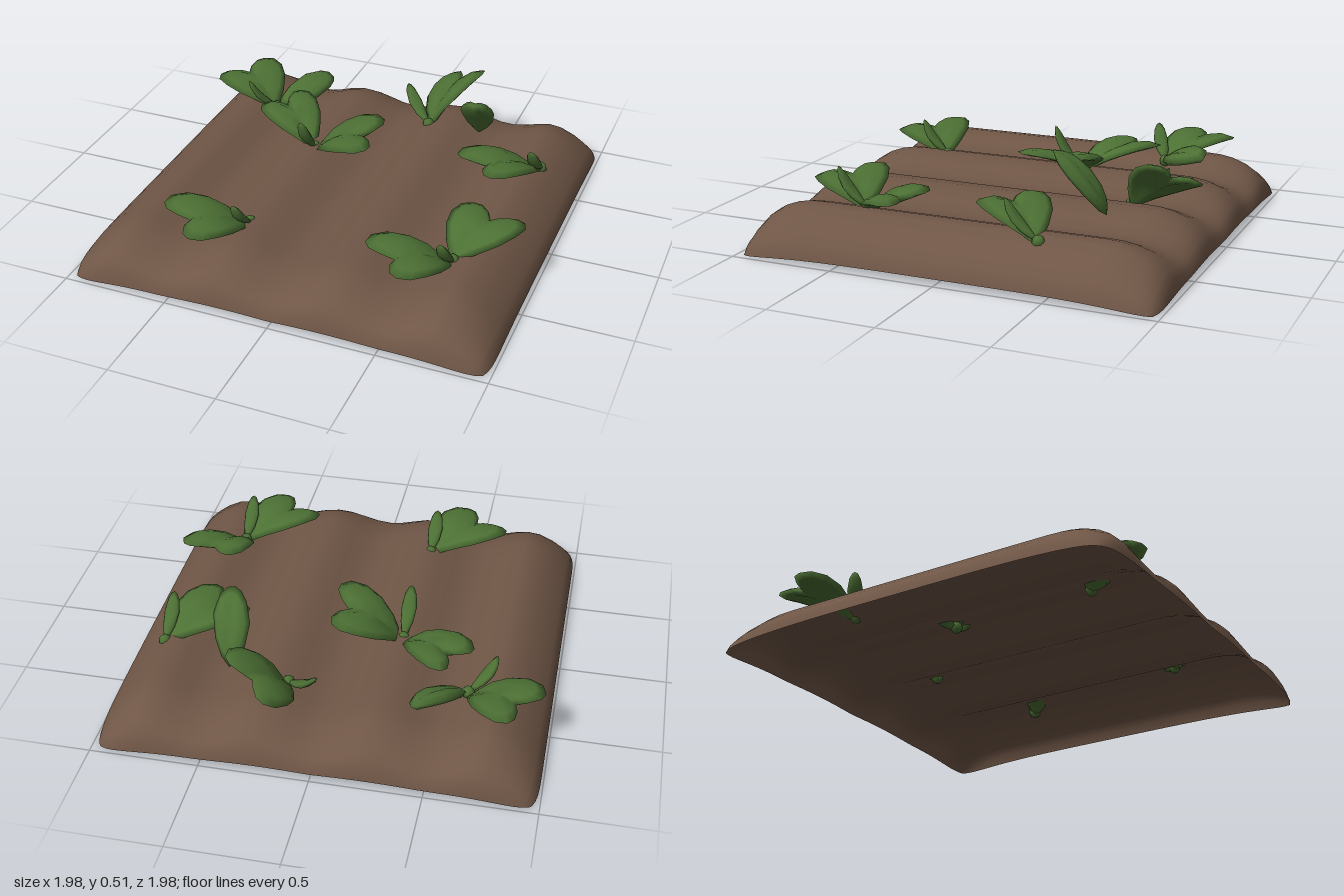
import * as THREE from 'three';

const soilMat = new THREE.MeshStandardMaterial({ color: 0x6f5646, side: THREE.DoubleSide });
soilMat.name = 'soil brown';
const leafMat = new THREE.MeshStandardMaterial({ color: 0x4c7034 });
leafMat.name = 'leaf green';

const V = (p) => new THREE.Vector3(...p);

// Half outlines: [position along the leaf, distance from the midrib]
const HEART = [[0, 0], [0.05, 0.1], [0.2, 0.3], [0.42, 0.5], [0.65, 0.6], [0.86, 0.6], [0.98, 0.48], [1.0, 0.33], [0.92, 0.14], [0.8, 0]];
const OVAL = [[0, 0], [0.1, 0.22], [0.3, 0.42], [0.6, 0.52], [0.85, 0.38], [0.96, 0.2], [1, 0]];

function buildGeometry(pos, idx) {
  const g = new THREE.BufferGeometry();
  g.setAttribute('position', new THREE.Float32BufferAttribute(pos, 3));
  g.setIndex(idx);
  g.computeVertexNormals();
  return g;
}

// Thick leaf stretched between its base and its two lobe tips
function leaf(name, half, base, tipA, tipB, { arch = 0.05, thick = 0.02, groove = 0.02 } = {}) {
  const b = V(base);
  let t1 = V(tipA), t2 = V(tipB);
  const along = t1.clone().add(t2).multiplyScalar(0.5).sub(b);
  let across = t1.clone().sub(t2);
  let n = along.clone().cross(across).normalize();
  if (n.y < 0) { across.negate(); n.negate(); }

  const outline = [
    ...half.map(([u, v]) => [u, -v]),
    ...half.slice(1, -1).reverse(),
  ];
  const N = outline.length, cu = 0.5, pos = [], idx = [];
  const put = (u, v, lift) => {
    const h = arch * Math.sin(Math.PI * Math.min(u, 1) * 0.85) - groove * Math.exp(-v * v * 60) + lift;
    const p = b.clone().addScaledVector(along, u).addScaledVector(across, v).addScaledVector(n, h);
    pos.push(p.x, p.y, p.z);
  };
  // Rings: top inner, top outer, rim, bottom outer, bottom inner
  const rings = [[0.4, 1], [0.8, 0.75], [1, 0], [0.8, -0.75], [0.4, -1]];
  for (const [s, k] of rings) for (const [u, v] of outline) put(cu + (u - cu) * s, v * s, k * thick);
  put(cu, 0, thick);
  put(cu, 0, -thick);
  const top = rings.length * N, bottom = top + 1;
  for (let i = 0; i < N; i++) {
    const j = (i + 1) % N;
    idx.push(top, i, j);
    for (let r = 0; r < rings.length - 1; r++) {
      const a = r * N, c = a + N;
      idx.push(a + i, c + i, c + j, a + i, c + j, a + j);
    }
    const e = (rings.length - 1) * N;
    idx.push(bottom, e + j, e + i);
  }
  const m = new THREE.Mesh(buildGeometry(pos, idx), leafMat);
  m.name = name;
  return m;
}

// Narrow young leaf rising from the base
function sprout(base, tip, width = 0.07) {
  const d = V(tip).sub(V(base));
  const w = new THREE.Vector3(-d.z, 0, d.x).normalize().multiplyScalar(width / 2);
  const t = V(tip);
  return leaf('sprout', OVAL, base, t.clone().add(w).toArray(), t.clone().sub(w).toArray(),
    { arch: -0.025, thick: 0.014, groove: 0 });
}

// Ridged bed: an open sheet whose edges curve down to the ground
function soilBed() {
  const rim = [0.99, 0.978, 0.955, 0.92, 0.87, 0.8, 0.74];
  const axis = rim.map((v) => -v);
  for (let i = -10; i <= 10; i++) axis.push(i * 0.068);
  axis.push(...rim.slice().reverse());
  const n = axis.length, pos = [], idx = [];
  const fall = (v) => Math.sqrt(Math.max(0, 1 - (1 - Math.min((0.99 - Math.abs(v)) / 0.3, 1)) ** 2));
  for (const z of axis) for (const x of axis) {
    const ridge = 0.195 - 0.036 * Math.cos((2 * Math.PI * x) / 0.52);
    const edge = 0.03 * (1 - (x * z / 0.98) ** 4) + 0.006 * Math.abs(Math.sin(6 * x)) * (1 - x * x);
    const y = edge + (ridge - edge) * fall(x) * fall(z);
    pos.push(x * (1 - 0.035 * Math.abs(z) ** 24), y, z * (1 - 0.035 * Math.abs(x) ** 24));
  }
  for (let r = 0; r < n - 1; r++) for (let c = 0; c < n - 1; c++) {
    const a = r * n + c, d = a + n;
    idx.push(a, d, a + 1, a + 1, d, d + 1);
  }
  const m = new THREE.Mesh(buildGeometry(pos, idx), soilMat);
  m.name = 'soilBed';
  return m;
}

// Each plant: base, heart leaves [tip, tip], oval leaves [base, tip, tip], sprout tip
const PLANTS = [
  { base: [-0.62, 0.2, -0.5],
    hearts: [[[-0.83, 0.28, -0.81], [-0.98, 0.27, -0.56]]],
    ovals: [[[-0.61, 0.21, -0.5], [-0.46, 0.32, -0.81], [-0.35, 0.26, -0.71]]],
    sprout: [-0.73, 0.37, -0.43] },
  { base: [-0.27, 0.21, -0.18],
    hearts: [[[-0.5, 0.29, -0.53], [-0.63, 0.28, -0.32]], [[0.06, 0.33, -0.33], [0.08, 0.33, 0.0]]],
    sprout: [-0.28, 0.42, -0.05] },
  { base: [0.18, 0.21, -0.6],
    hearts: [[[0.22, 0.33, -0.95], [0.43, 0.45, -0.8]]],
    ovals: [[[0.46, 0.24, -0.59], [0.4, 0.5, -0.35], [0.57, 0.52, -0.33]]],
    sprout: [0.03, 0.36, -0.72] },
  { base: [0.82, 0.2, -0.41],
    hearts: [[[0.44, 0.28, -0.22], [0.66, 0.28, -0.05]]],
    sprout: [0.81, 0.38, -0.26] },
  { base: [0.67, 0.2, 0.49],
    hearts: [[[0.3, 0.28, 0.64], [0.52, 0.26, 0.83]], [[0.66, 0.29, 0.16], [0.93, 0.28, 0.23]]],
    sprout: [0.66, 0.38, 0.63] },
  { base: [-0.28, 0.21, 0.55],
    hearts: [[[-0.66, 0.28, 0.68], [-0.43, 0.26, 0.89]]],
    sprout: [-0.29, 0.38, 0.68] },
];

export function createModel() {
  const model = new THREE.Group();
  model.name = 'gardenBed';
  model.add(soilBed());
  PLANTS.forEach((p, i) => {
    const plant = new THREE.Group();
    plant.name = `plant${i + 1}`;
    for (const [a, b] of p.hearts) plant.add(leaf('heartLeaf', HEART, p.base, a, b));
    for (const [o, a, b] of p.ovals || []) {
      plant.add(leaf('ovalLeaf', OVAL, o, a, b, { arch: 0.02, thick: 0.03, groove: 0.01 }));
    }
    plant.add(sprout(p.base, p.sprout));
    // Root crown just under the leaves
    const crown = new THREE.Mesh(new THREE.SphereGeometry(0.03, 8, 6), leafMat);
    crown.name = 'crown';
    crown.position.set(p.base[0], p.base[1], p.base[2]);
    plant.add(crown);
    model.add(plant);
  });
  return model;
}
